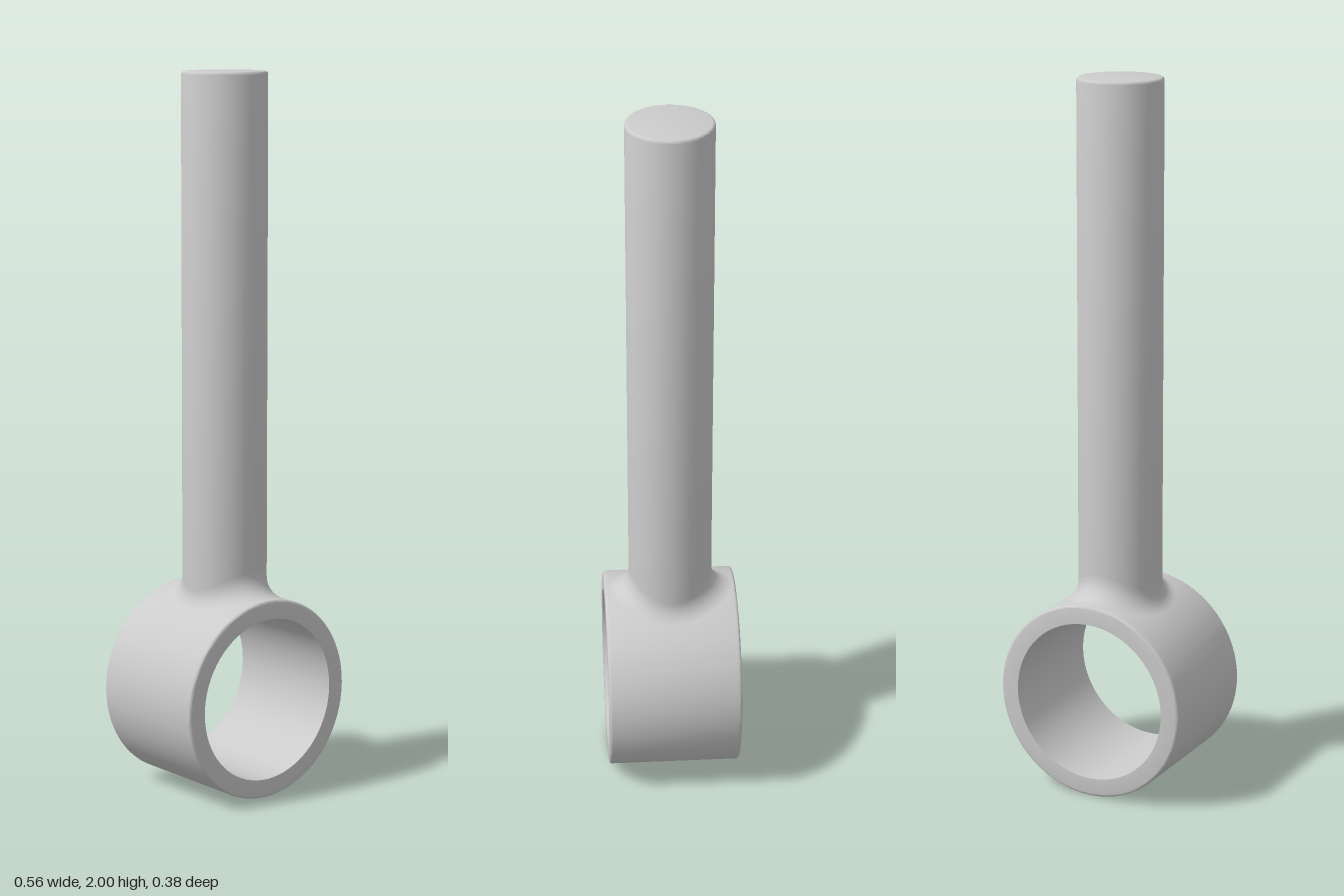
import * as THREE from 'three';
import { toCreasedNormals } from 'three/addons/utils/BufferGeometryUtils.js';

const RING = 0.281, BORE = 0.228, HALF = 0.188; // ring radii and half length
const ROD = 0.118, FILLET = 0.065, EDGE = 0.008;
const material = new THREE.MeshStandardMaterial({ color: 0xcccccc });

// Quarter-round corner points around (cx, cy), from angle a0 to a0 + 90 degrees
function corner(cx, cy, r, a0, steps = 4) {
  return Array.from({ length: steps + 1 }, (_, i) => {
    const a = a0 + (i / steps) * Math.PI / 2;
    return new THREE.Vector2(cx + r * Math.cos(a), cy + r * Math.sin(a));
  });
}

function part(name, geometry) {
  const mesh = new THREE.Mesh(geometry, material);
  mesh.name = name;
  return mesh;
}

// Concave blend swept by a ball rolling between the rod and the ring
function filletGeometry(around = 96, steps = 10) {
  const positions = [], index = [];
  for (let i = 0; i < around; i++) {
    const a = (i / around) * Math.PI * 2, d = ROD + FILLET;
    const x = d * Math.cos(a), z = d * Math.sin(a);
    const centre = new THREE.Vector3(x, Math.sqrt((RING + FILLET) ** 2 - x * x), z);
    const toRod = new THREE.Vector3(-Math.cos(a), 0, -Math.sin(a));
    const toRing = new THREE.Vector3(-centre.x, -centre.y, 0).normalize();
    const angle = toRod.angleTo(toRing);
    for (let j = 0; j <= steps; j++) {
      const t = j / steps;
      const p = centre.clone()
        .addScaledVector(toRod, FILLET * Math.sin((1 - t) * angle) / Math.sin(angle))
        .addScaledVector(toRing, FILLET * Math.sin(t * angle) / Math.sin(angle));
      positions.push(p.x, p.y + RING, p.z);
      if (j < steps) {
        const p0 = i * (steps + 1) + j, p1 = ((i + 1) % around) * (steps + 1) + j;
        index.push(p0, p1, p0 + 1, p1, p1 + 1, p0 + 1);
      }
    }
  }
  const geometry = new THREE.BufferGeometry();
  geometry.setAttribute('position', new THREE.Float32BufferAttribute(positions, 3));
  geometry.setIndex(index);
  geometry.computeVertexNormals();
  return geometry;
}

export function createModel() {
  const group = new THREE.Group();
  group.name = 'rodEnd';

  // Ring: hollow cylinder along z with softened outer rims
  const ringProfile = [
    new THREE.Vector2(BORE, -HALF),
    ...corner(RING - EDGE, -HALF + EDGE, EDGE, -Math.PI / 2),
    ...corner(RING - EDGE, HALF - EDGE, EDGE, 0),
    new THREE.Vector2(BORE, HALF),
    new THREE.Vector2(BORE, -HALF),
  ];
  const ring = new THREE.LatheGeometry(ringProfile, 72).rotateX(Math.PI / 2).translate(0, RING, 0);
  group.add(part('ring', toCreasedNormals(ring, 0.5)));

  // Rod: round bar whose lower end sits inside the ring wall
  const rodProfile = [
    new THREE.Vector2(0, RING + 0.24),
    new THREE.Vector2(ROD, RING + 0.24),
    ...corner(ROD - EDGE, 2 - EDGE, EDGE, 0),
    new THREE.Vector2(0, 2),
  ];
  group.add(part('rod', toCreasedNormals(new THREE.LatheGeometry(rodProfile, 64), 0.5)));

  // Smooth blend between rod and ring
  group.add(part('fillet', filletGeometry()));
  return group;
}
